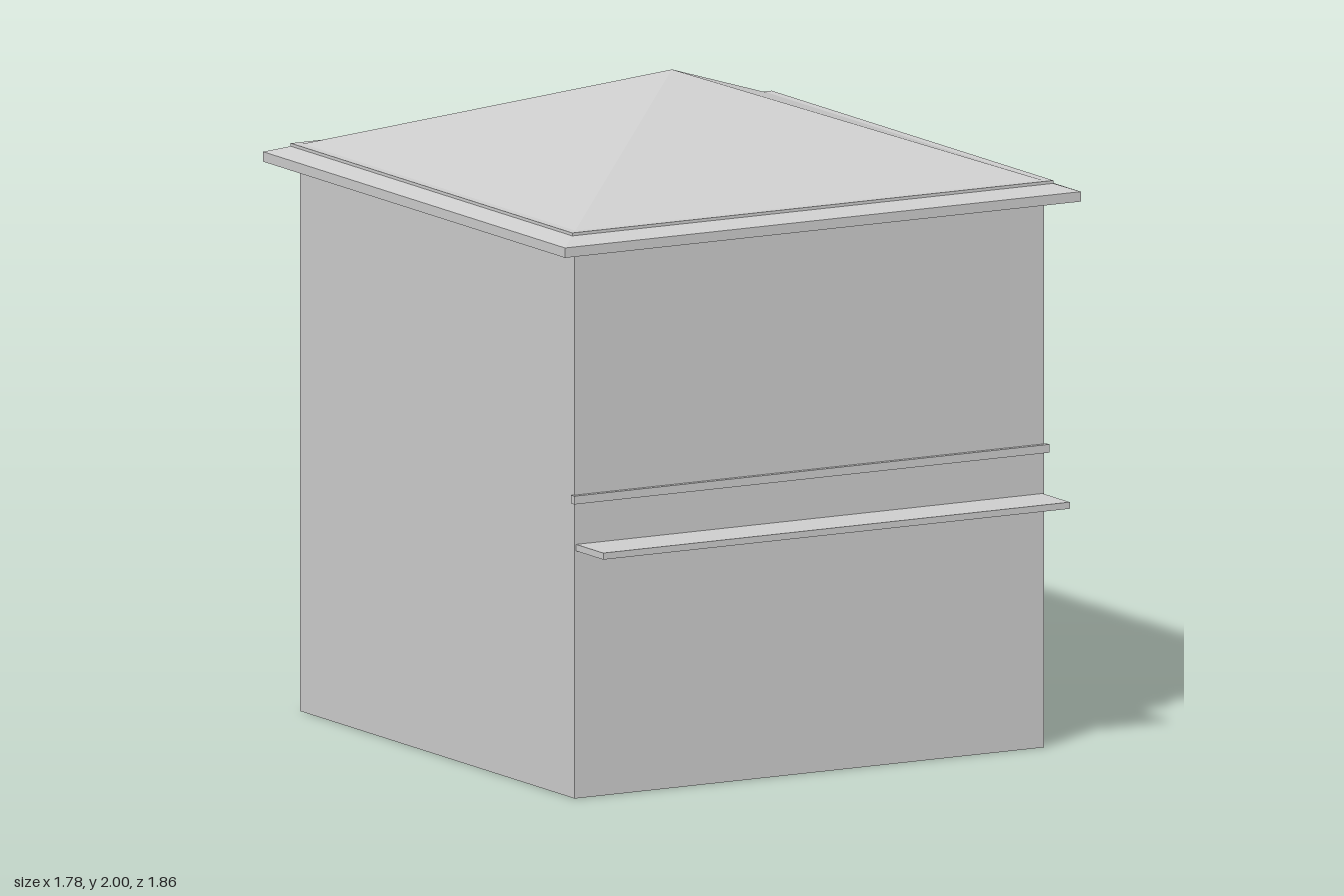
import * as THREE from 'three';

export function createModel() {
  const model = new THREE.Group();
  const plaster = new THREE.MeshStandardMaterial({ color: 0xcccccc, side: THREE.DoubleSide });
  plaster.name = 'light grey';
  const CZ = -0.04;   // centre of the building in z
  const HALF = 0.81;  // half width of the square plan
  const FRONT = CZ + HALF;

  function add(name, geometry, x, y, z) {
    const mesh = new THREE.Mesh(geometry, plaster);
    mesh.name = name;
    mesh.position.set(x, y, z);
    model.add(mesh);
  }
  // box given by its extents
  function box(name, x0, x1, y0, y1, z0, z1) {
    add(name, new THREE.BoxGeometry(x1 - x0, y1 - y0, z1 - z0),
      (x0 + x1) / 2, (y0 + y1) / 2, (z0 + z1) / 2);
  }
  // open square shell, tapering from the bottom half width to the top one
  function shell(name, top, bottom, y0, y1) {
    const g = new THREE.CylinderGeometry(top * Math.SQRT2, bottom * Math.SQRT2, y1 - y0, 4, 1, true)
      .rotateY(Math.PI / 4).toNonIndexed();
    g.computeVertexNormals();
    add(name, g, 0, (y0 + y1) / 2, CZ);
  }

  // hollow walls, open underneath
  shell('walls', HALF, HALF, 0, 1.7);

  // hipped roof with fascia and the thin cornice showing above the eaves
  shell('roof', 0, 0.89, 1.69, 2);
  shell('fascia', 0.89, 0.89, 1.66, 1.69);
  box('cornice', -0.83, 0.83, 1.69, 1.72, CZ - 0.83, CZ + 0.83);

  // shop front canopy and moulding
  box('canopy', -0.805, 0.805, 0.75, 0.77, FRONT, 0.93);
  box('moulding', -0.82, 0.82, 0.895, 0.92, FRONT - 0.005, 0.785);

  // window boxes on the inner faces of the walls
  const D = 0.045, GAP = 0.004;
  for (const x of [-0.54, 0, 0.54]) {
    box('shopWindow', x - 0.217, x + 0.217, 0.39, 0.72, FRONT - D, FRONT - GAP);
  }
  for (const s of [-1, 1]) {
    box('upperWindow', s * 0.39 - 0.0625, s * 0.39 + 0.0625, 0.97, 1.4, FRONT - D, FRONT - GAP);
    const inner = s * (HALF - D), outer = s * (HALF - GAP);
    box('sideWindow', Math.min(inner, outer), Math.max(inner, outer), 0.38, 0.72, CZ - 0.055, CZ + 0.055);
  }
  return model;
}
